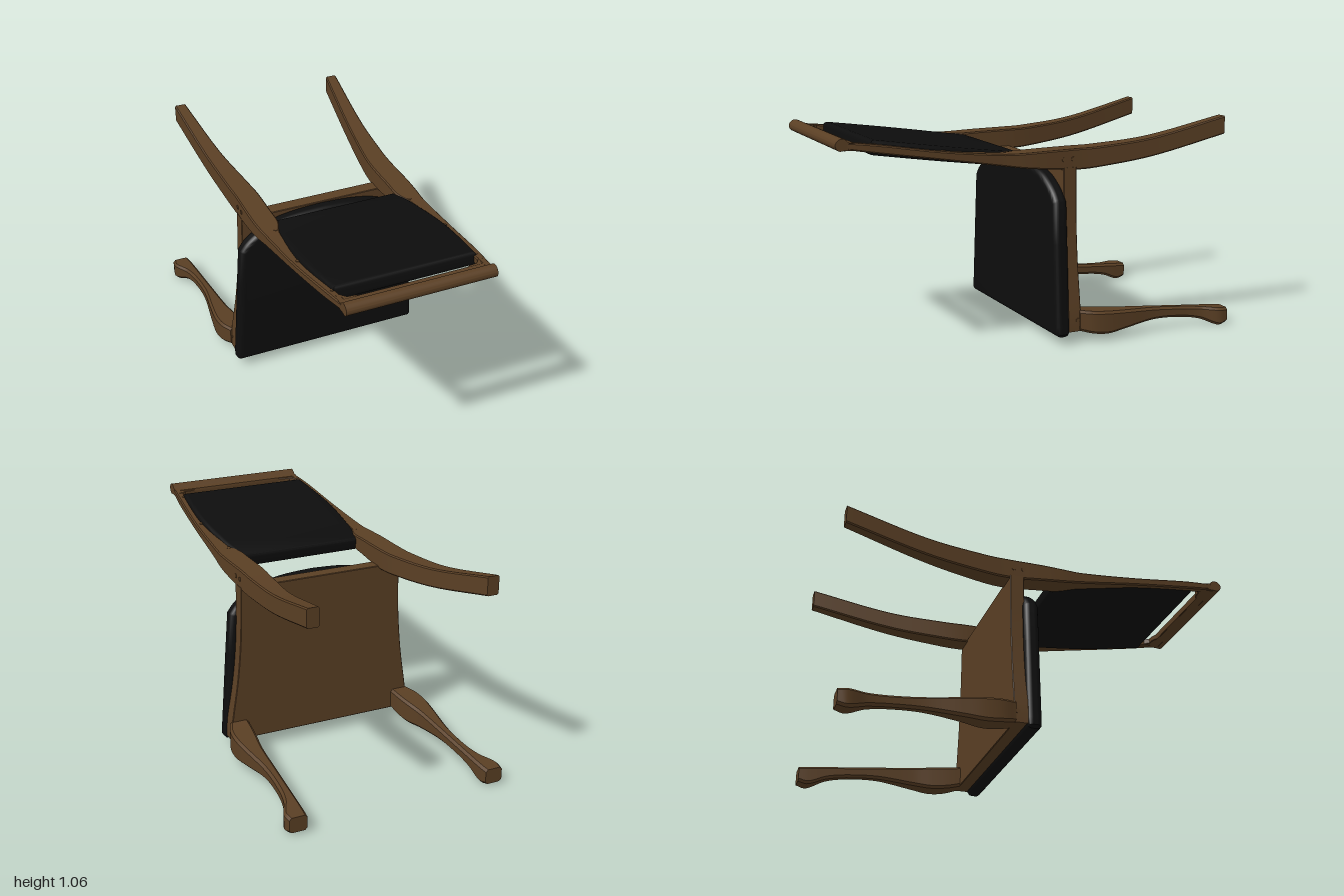
import * as THREE from 'three';
import { toCreasedNormals } from 'three/addons/utils/BufferGeometryUtils.js';

const wood = new THREE.MeshStandardMaterial({ color: 0x5a3f24 });
const leather = new THREE.MeshStandardMaterial({ color: 0x0d0d0d });
const CREASE = 0.6;

// smooth interpolation of rows [z, ...values] at a given z
function sample(keys, z) {
  let i = 0;
  while (i < keys.length - 2 && z > keys[i + 1][0]) i++;
  const slope = (k, c) => {
    const a = keys[Math.max(k - 1, 0)], b = keys[Math.min(k + 1, keys.length - 1)];
    return (b[c] - a[c]) / (b[0] - a[0]);
  };
  const a = keys[i], b = keys[i + 1], h = b[0] - a[0], t = (z - a[0]) / h;
  return [1, 2, 3, 4].map(c =>
    (2 * t ** 3 - 3 * t * t + 1) * a[c] + (t ** 3 - 2 * t * t + t) * h * slope(i, c) +
    (3 * t * t - 2 * t ** 3) * b[c] + (t ** 3 - t * t) * h * slope(i + 1, c));
}

// bar running along z with chamfered rectangular sections; rows are [z, x0, x1, y0, y1]
function bar(keys, bevel, side, steps = 48) {
  const pos = [], idx = [], n = 8;
  const zA = keys[0][0], zB = keys[keys.length - 1][0];
  for (let s = 0; s <= steps; s++) {
    const z = zA + (zB - zA) * s / steps;
    let [x0, x1, y0, y1] = sample(keys, z);
    if (side < 0) [x0, x1] = [-x1, -x0];
    const b = bevel;
    for (const [x, y] of [[x0 + b, y0], [x1 - b, y0], [x1, y0 + b], [x1, y1 - b],
      [x1 - b, y1], [x0 + b, y1], [x0, y1 - b], [x0, y0 + b]]) pos.push(x, y, z);
  }
  for (let s = 0; s < steps; s++) for (let k = 0; k < n; k++) {
    const a = s * n + k, b = s * n + (k + 1) % n;
    idx.push(a, b, b + n, a, b + n, a + n);
  }
  const e = steps * n;
  for (let k = 1; k < n - 1; k++) idx.push(0, k + 1, k, e, e + k, e + k + 1);
  const g = new THREE.BufferGeometry();
  g.setAttribute('position', new THREE.Float32BufferAttribute(pos, 3));
  g.setIndex(idx);
  return toCreasedNormals(g, CREASE);
}

// slab centred on its thickness, with rounded rim kept inside the outline
function slab(shape, thick, round, segs) {
  const g = new THREE.ExtrudeGeometry(shape, {
    depth: thick - 2 * round, bevelSize: round, bevelThickness: round,
    bevelOffset: -round, bevelSegments: segs, curveSegments: 20 });
  g.translate(0, 0, round - thick / 2);
  return toCreasedNormals(g, CREASE);
}

// closed outline from the right half, listed bottom to top
function symmetric(right) {
  const left = right.filter(p => p[0] > 0).map(([x, y]) => [-x, y]).reverse();
  return new THREE.Shape([...right, ...left].map(p => new THREE.Vector2(...p)));
}

const smooth = (pts, n) => new THREE.SplineCurve(pts.map(p => new THREE.Vector2(...p)))
  .getPoints(n).map(v => [v.x, v.y]);

export function createModel() {
  const model = new THREE.Group();
  const add = (name, geometry, material = wood) => {
    const m = new THREE.Mesh(geometry, material);
    m.name = name;
    model.add(m);
    return m;
  };

  // seat: padded cushion over a wooden frame with hollowed sides
  const seatTop = smooth([[0.455, 0.7], [0.42, 0.745], [0.36, 0.79], [0.28, 0.828], [0.15, 0.852], [0, 0.86]], 16);
  add('seatCushion', slab(symmetric([[0.488, 0.04], [0.5, 0.055], [0.499, 0.09], [0.47, 0.5], ...seatTop]),
    0.075, 0.028, 5), leather).position.z = -0.08;
  const frameSide = smooth([[0.49, 0.06], [0.485, 0.16], [0.452, 0.38], [0.432, 0.6], [0.425, 0.86]], 16);
  add('seatFrame', slab(symmetric(frameSide), 0.07, 0.003, 1)).position.z = -0.143;

  // backrest: tilted cushion held between the posts
  const backSide = smooth([[0.315, -0.39], [0.345, -0.27], [0.368, 0], [0.362, 0.2], [0.345, 0.385]], 16);
  const back = add('backCushion', slab(symmetric(backSide), 0.07, 0.02, 4), leather);
  back.rotation.x = Math.PI / 2 - 0.148;
  back.position.set(0, 0.955, 0.453);

  // top rail with rolled edge, and the web that flares into the posts
  const roll = new THREE.Shape(smooth([[0.91, 1.005], [0.91, 1.038], [0.935, 1.042], [0.958, 1.06], [0.982, 1.059],
    [0.999, 1.042], [0.999, 1.022], [0.982, 1.006], [0.95, 1.008], [0.91, 1.005]], 36)
    .slice(0, -1).map(p => new THREE.Vector2(...p)));
  const rail = new THREE.ExtrudeGeometry(roll, { depth: 0.72, bevelEnabled: false });
  rail.translate(0, 0, -0.36).rotateY(-Math.PI / 2);
  add('topRail', toCreasedNormals(rail, CREASE));
  const webEdge = [[0.24, 0.913], [0.275, 0.896], [0.31, 0.893], [0.335, 0.865], [0.355, 0.865], [0.355, 0.96]];
  const web = slab(symmetric(webEdge), 0.03, 0.003, 1);
  web.rotateX(Math.PI / 2);
  add('topRailWeb', web).position.y = 1.02;

  // rear leg and back post in one sweeping piece
  const post = [
    [-1, 0.408, 0.467, 0.972, 1.064], [-0.6, 0.36, 0.442, 0.885, 0.978], [-0.3, 0.32, 0.427, 0.85, 0.95],
    [-0.18, 0.31, 0.423, 0.846, 0.948], [0, 0.31, 0.425, 0.861, 0.946], [0.1, 0.311, 0.422, 0.872, 0.944],
    [0.2, 0.34, 0.414, 0.888, 0.946], [0.5, 0.35, 0.4, 0.938, 0.978], [0.8, 0.335, 0.377, 0.985, 1.025],
    [0.96, 0.325, 0.358, 1.012, 1.045]];
  // curved front leg with full knee and turned-out foot
  const leg = [
    [-1, 0.462, 0.55, 0.012, 0.088], [-0.95, 0.457, 0.555, 0.002, 0.092], [-0.86, 0.452, 0.515, 0.036, 0.1],
    [-0.75, 0.447, 0.497, 0.054, 0.11], [-0.6, 0.44, 0.495, 0.061, 0.124], [-0.42, 0.43, 0.518, 0.045, 0.14],
    [-0.32, 0.415, 0.528, 0.035, 0.149], [-0.24, 0.405, 0.522, 0.043, 0.156], [-0.17, 0.4, 0.495, 0.06, 0.163]];

  // round plugs covering the joints: [x, y, z], axis along x or y
  const plug = (side, x, y, z, alongX) => {
    const p = add('jointPlug', new THREE.CylinderGeometry(0.011, 0.011, 0.012, 12));
    p.position.set(side * x, y, z);
    if (alongX) p.rotation.z = Math.PI / 2;
    else p.rotation.x = -0.13;
  };

  for (const side of [1, -1]) {
    const label = side > 0 ? 'left' : 'right';
    add(label + 'BackPost', bar(post, 0.006, side, 64));
    add(label + 'FrontLeg', bar(leg, 0.012, side, 56));
    plug(side, 0.42, 0.9, -0.11, true);
    plug(side, 0.42, 0.9, -0.16, true);
    plug(side, 0.485, 0.115, -0.16, true);
    plug(side, 0.35, 0.94, 0.165, false);
    plug(side, 0.37, 0.974, 0.49, false);
    plug(side, 0.345, 1.024, 0.82, false);
  }
  return model;
}
